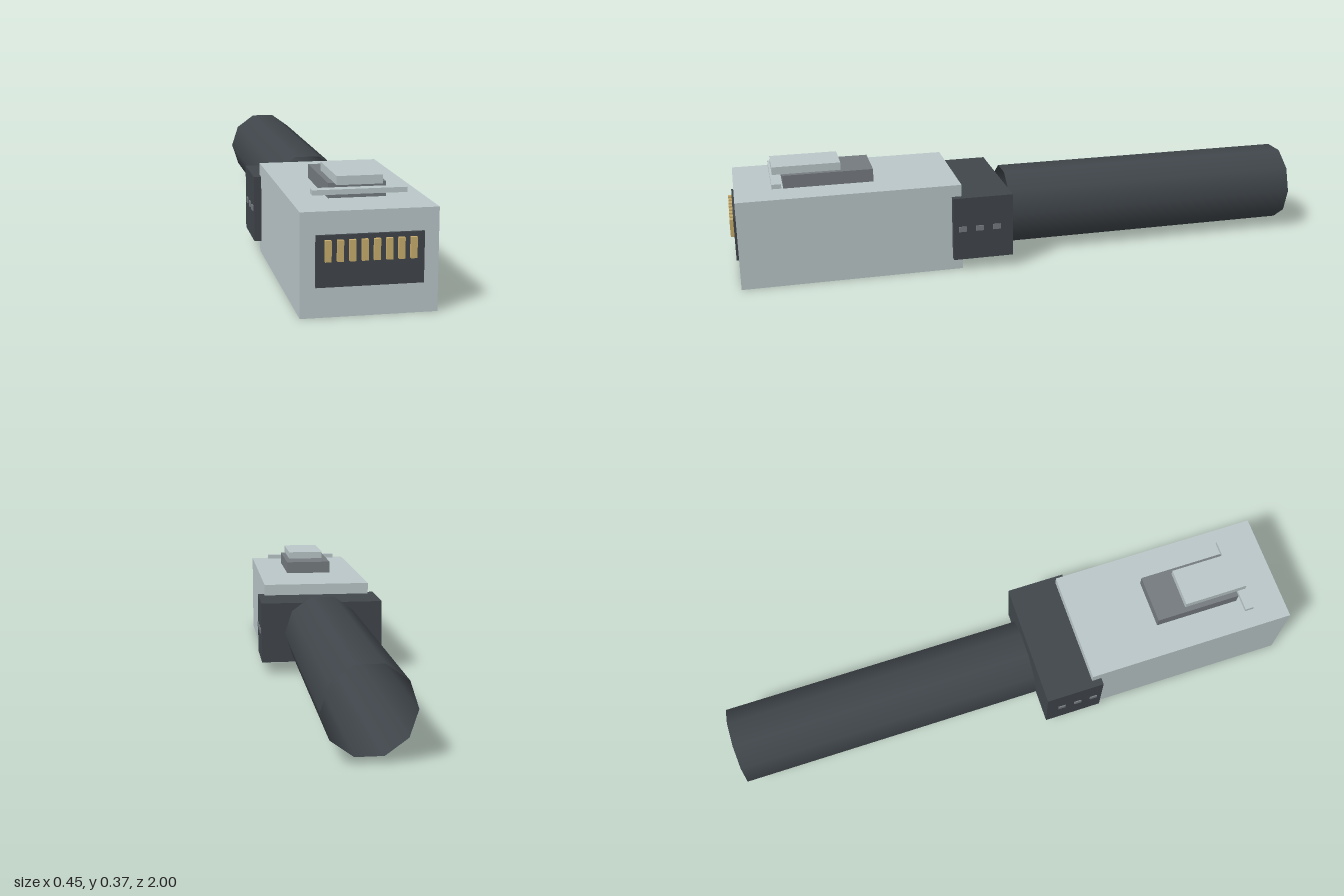
import * as THREE from 'three';

const paint = (name, color, side = THREE.FrontSide) => {
  const m = new THREE.MeshStandardMaterial({ color, side });
  m.name = name;
  return m;
};

export function createModel() {
  const group = new THREE.Group();
  const shell = paint('pale grey shell', 0xbac6c8);
  const rubber = paint('charcoal rubber', 0x40464b, THREE.DoubleSide);
  const grey = paint('mid grey', 0x757b80);
  const gold = paint('gold contacts', 0xc8ac6c);

  // Box given by its extents on each axis
  const box = (name, material, [x0, x1], [y0, y1], [z0, z1]) => {
    const mesh = new THREE.Mesh(new THREE.BoxGeometry(x1 - x0, y1 - y0, z1 - z0), material);
    mesh.position.set((x0 + x1) / 2, (y0 + y1) / 2, (z0 + z1) / 2);
    mesh.name = name;
    group.add(mesh);
  };

  // Plug housing and the strain-relief collar behind it
  box('plugBody', shell, [-0.196, 0.196], [0, 0.3], [0.242, 0.98]);
  box('collar', rubber, [-0.22, 0.22], [0.042, 0.26], [0.071, 0.276]);

  // Latch on top: base, raised tab and cross bar
  box('latchBase', grey, [-0.085, 0.085], [0.3, 0.344], [0.521, 0.82]);
  box('latchTab', shell, [-0.067, 0.067], [0.344, 0.37], [0.627, 0.853]);
  box('latchBar', shell, [-0.138, 0.138], [0.318, 0.333], [0.828, 0.859]);

  // Front contact panel with eight pins
  box('contactPanel', rubber, [-0.153, 0.153], [0.088, 0.235], [0.975, 0.988]);
  for (let i = 0; i < 8; i++) {
    const x = (i - 3.5) * 0.0344;
    box('contactPin', gold, [x - 0.009, x + 0.009], [0.162, 0.222], [0.985, 1]);
  }

  // Three grip studs on each side of the collar
  for (const side of [-1, 1]) {
    for (const z of [0.127, 0.186, 0.245]) {
      const x = side * 0.219;
      box('gripStud', grey, [x - 0.005, x + 0.005], [0.142, 0.16], [z - 0.013, z + 0.013]);
    }
  }

  // Open ten-sided cable sleeve
  const sleeve = new THREE.CylinderGeometry(0.137, 0.137, 1.058, 10, 1, true, Math.PI / 2);
  sleeve.rotateX(Math.PI / 2);
  const cable = new THREE.Mesh(sleeve, rubber);
  cable.position.set(0, 0.152, -0.471);
  cable.name = 'cable';
  group.add(cable);

  return group;
}
